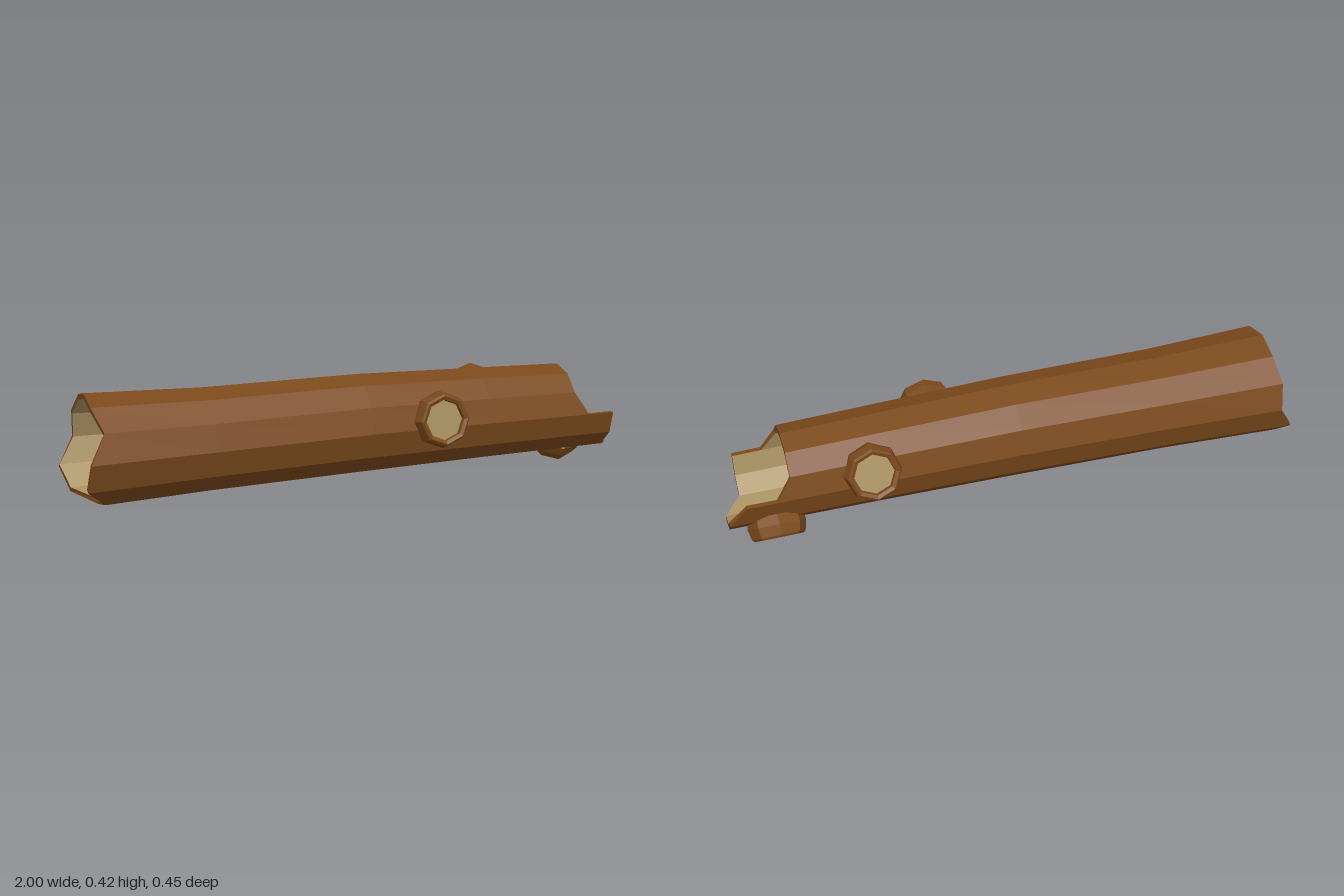
import * as THREE from 'three';

const SIDES = 12;
const WALL = 0.018;

// Trunk rings: x, centre y, centre z, radius in y, radius in z
const RINGS = [
  [-1.0, 0.233, -0.002, 0.191, 0.207],
  [-0.55, 0.231, 0, 0.177, 0.185],
  [0, 0.234, 0.002, 0.174, 0.173],
  [0.45, 0.229, 0.003, 0.165, 0.165],
  [1.0, 0.221, 0.004, 0.155, 0.155],
];

// Ragged ends: side index (0 = top, 3 = front), left x, right x.
// A repeated index makes a step in the broken edge.
const ROWS = [
  [0, -0.945, 0.79], [1, -0.945, 0.79], [2, -0.92, 0.79],
  [3, -0.97, 0.84], [3, -0.97, 0.94],
  [4, -0.98, 0.94], [5, -0.91, 0.94], [6, -0.91, 1], [7, -0.98, 1], [8, -1, 1],
  [9, -0.945, 0.94], [9, -0.945, 0.84],
  [10, -0.95, 0.79], [11, -0.94, 0.79], [12, -0.945, 0.79],
];

// Point on the trunk at side k and position x, moved inward by inset
function trunkPoint(k, x, inset) {
  let i = 0;
  while (i < RINGS.length - 2 && x > RINGS[i + 1][0]) i++;
  const a = RINGS[i], b = RINGS[i + 1];
  const t = (x - a[0]) / (b[0] - a[0]);
  const [, cy, cz, ry, rz] = a.map((v, j) => v + (b[j] - v) * t);
  const angle = (k / SIDES) * Math.PI * 2;
  return [x, cy + Math.cos(angle) * (ry - inset), cz + Math.sin(angle) * (rz - inset)];
}

function quadMesh(name, quads, material) {
  const positions = [];
  for (const [a, b, c, d] of quads) positions.push(...a, ...b, ...c, ...a, ...c, ...d);
  const geometry = new THREE.BufferGeometry();
  geometry.setAttribute('position', new THREE.Float32BufferAttribute(positions, 3));
  geometry.computeVertexNormals();
  const mesh = new THREE.Mesh(geometry, material);
  mesh.name = name;
  return mesh;
}

function latheMesh(name, profile, material) {
  const points = profile.map(([r, y]) => new THREE.Vector2(r, y));
  const mesh = new THREE.Mesh(new THREE.LatheGeometry(points, 8), material);
  mesh.name = name;
  return mesh;
}

export function createModel() {
  const bark = new THREE.MeshStandardMaterial({ color: 0x7b4a1c, flatShading: true, side: THREE.DoubleSide });
  const wood = new THREE.MeshStandardMaterial({ color: 0xa89060, flatShading: true, side: THREE.DoubleSide });
  const log = new THREE.Group();
  log.name = 'hollowLog';

  // Trunk: bark outside, pale wood inside, bark-coloured broken edges
  const outer = [], inner = [], edges = [];
  for (let i = 0; i < ROWS.length - 1; i++) {
    const [k0, l0, r0] = ROWS[i], [k1, l1, r1] = ROWS[i + 1];
    edges.push([trunkPoint(k0, r0, 0), trunkPoint(k1, r1, 0), trunkPoint(k1, r1, WALL), trunkPoint(k0, r0, WALL)]);
    if (k0 === k1) continue;
    edges.push([trunkPoint(k1, l1, 0), trunkPoint(k0, l0, 0), trunkPoint(k0, l0, WALL), trunkPoint(k1, l1, WALL)]);
    const xs0 = [l0, -0.55, 0, 0.45, r0], xs1 = [l1, -0.55, 0, 0.45, r1];
    for (let s = 0; s < 4; s++) {
      const quad = (inset) => [
        trunkPoint(k0, xs0[s], inset), trunkPoint(k1, xs1[s], inset),
        trunkPoint(k1, xs1[s + 1], inset), trunkPoint(k0, xs0[s + 1], inset),
      ];
      outer.push(quad(0));
      inner.push(quad(WALL).reverse());
    }
  }
  log.add(quadMesh('bark', outer, bark), quadMesh('hollowInside', inner, wood), quadMesh('brokenEdges', edges, bark));

  // Cut branch stubs: tip centre, then outward direction in y and z
  const stubs = [
    ['frontStub', 0.25, 0.268, 0.207, 0.164, 0.986],
    ['backStub', 0.52, 0.29, -0.191, 0.35, -0.937],
    ['lowerStub', 0.845, 0.06, -0.123, -0.753, -0.657],
  ];
  for (const [name, x, y, z, dy, dz] of stubs) {
    const stub = new THREE.Group();
    stub.name = name;
    stub.add(
      latheMesh('stubBark', [[0.094, -0.07], [0.099, -0.035], [0.09, 0], [0.083, 0.006], [0.071, 0], [0.069, -0.018]], bark),
      latheMesh('stubCore', [[0.07, -0.016], [0, -0.016]], wood),
    );
    stub.position.set(x, y, z);
    stub.rotation.x = Math.atan2(dz, dy);
    log.add(stub);
  }
  return log;
}
